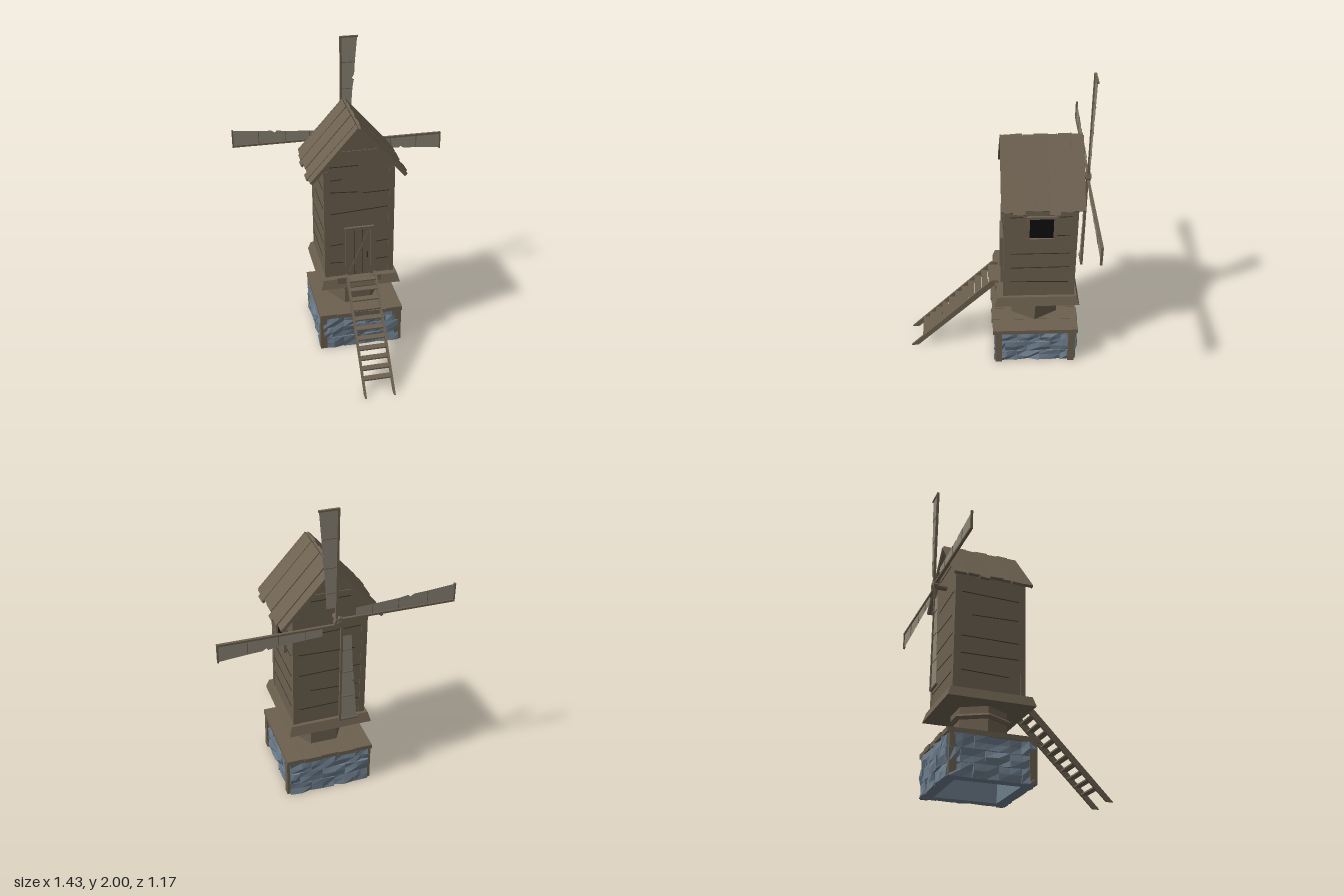
import * as THREE from 'three';

const material = (name, color, extra = {}) => {
  const m = new THREE.MeshStandardMaterial({ color, ...extra });
  m.name = name;
  return m;
};

export function createModel() {
  const wood = material('weathered wood', 0x6d6150, { flatShading: true });
  const gap = material('plank gap', 0x393126);
  const stone = material('blue grey stone', 0x6c7c8b, { flatShading: true });
  const cloth = material('sail cloth', 0x8d8677, { side: THREE.DoubleSide });
  const black = material('window dark', 0x0e0e0e);

  const model = new THREE.Group();
  model.name = 'windmill';
  const CX = 0.025, CZ = -0.265; // centre of the mill body
  let seed = 7;
  const rand = () => (seed = (seed * 16807) % 2147483647) / 2147483647;

  const group = (name, parent = model, x = 0, y = 0, z = 0) => {
    const g = new THREE.Group();
    g.name = name;
    g.position.set(x, y, z);
    parent.add(g);
    return g;
  };
  const add = (name, geometry, mat, parent, x = 0, y = 0, z = 0) => {
    const m = new THREE.Mesh(geometry, mat);
    m.name = name;
    m.position.set(x, y, z);
    parent.add(m);
    return m;
  };
  const box = (name, w, h, d, x, y, z, mat = wood, parent = model) =>
    add(name, new THREE.BoxGeometry(w, h, d), mat, parent, x, y, z);

  // Stone base: four walls of rough blocks, corner posts and a plank cap
  const base = group('stoneBase', model, 0.027, 0, -0.25);
  const block = (w, h, d) => {
    const g = new THREE.BoxGeometry(w, h, d, 2, 2, 1);
    const p = g.attributes.position;
    const bumps = Array.from({ length: 9 }, () => (rand() - 0.5) * 0.022);
    for (let i = 0; i < p.count; i++) {
      if (p.getZ(i) < 0) continue;
      const col = Math.round(p.getX(i) / w * 2) + 1, row = Math.round(p.getY(i) / h * 2) + 1;
      p.setZ(i, p.getZ(i) + bumps[row * 3 + col] + (col === 1 && row === 1 ? 0.006 : 0));
    }
    g.computeVertexNormals();
    return g;
  };
  for (let side = 0; side < 4; side++) {
    const wall = group('stoneWall', base);
    wall.rotation.y = side * Math.PI / 2;
    const proud = side >= 2 ? 0.012 : 0; // back and left walls bulge a little
    for (let row = 0; row < 3; row++) {
      const cuts = [-0.26, row % 2 ? -0.2 : -0.12, row % 2 ? -0.05 : 0.03, row % 2 ? 0.1 : 0.17, 0.26];
      for (let i = 0; i < 4; i++) {
        const a = cuts[i], b = cuts[i + 1];
        add('stoneBlock', block(b - a, 0.0835, 0.07), stone, wall,
          (a + b) / 2, 0.0417 + row * 0.0833, 0.228 + proud);
      }
    }
  }
  for (const sx of [-1, 1]) for (const sz of [-1, 1])
    box('basePost', 0.045, 0.25, 0.045, sx * 0.257, 0.125, sz * 0.242, wood, base);
  for (let i = 0; i < 5; i++)
    box('capPlank', 0.111, 0.03, 0.56 + (i % 2) * 0.012, -0.226 + i * 0.113, 0.265, 0, wood, base);
  box('capCore', 0.55, 0.018, 0.54, 0, 0.265, 0, wood, base);

  // Hexagonal turning post with collars
  const hex = (name, top, bottom, h, y) => {
    const m = add(name, new THREE.CylinderGeometry(top, bottom, h, 6), wood, model, 0.027, y, -0.25);
    m.rotation.y = Math.PI / 6;
  };
  hex('turningPost', 0.173, 0.173, 0.21, 0.38);
  hex('collarLower', 0.2, 0.185, 0.015, 0.4075);
  hex('collarUpper', 0.185, 0.2, 0.015, 0.4225);

  // Flared skirt under the body
  const skirtShape = new THREE.CylinderGeometry(0.495 / Math.SQRT2, 0.53 / Math.SQRT2, 0.062, 4);
  skirtShape.rotateY(Math.PI / 4);
  const skirt = add('floorSkirt', skirtShape, wood, model, CX, 0.509, -0.255);
  skirt.scale.z = 1.035;
  for (let i = 0; i < 4; i++)
    box('skirtPlank', 0.06 + rand() * 0.02, 0.05, 0.012, -0.1 + i * 0.075, 0.518 + rand() * 0.01, 0.005);

  // Body with gabled ends
  const profile = new THREE.Shape([[-0.2275, 0.53], [0.2275, 0.53], [0.2275, 1.325], [0, 1.58], [-0.2275, 1.325]]
    .map(([x, y]) => new THREE.Vector2(x, y)));
  add('body', new THREE.ExtrudeGeometry(profile, { depth: 0.45, bevelEnabled: false }), wood, model, CX, 0, CZ - 0.225);
  for (const sx of [-1, 1]) for (const sz of [-1, 1])
    box('cornerPost', 0.035, 0.77, 0.035, CX + sx * 0.2125, 0.925, CZ + sz * 0.2105);

  // Gaps between wall planks: [centre, height, length, tilt] on each wall
  const seams = [
    [[-0.1, 1.34, 0.18, 0], [-0.15, 1.25, 0.08, 0.05], [-0.1, 1.16, 0.18, -0.06], [0.12, 1.145, 0.2, 0.01],
      [0, 1.02, 0.38, 0.06], [-0.15, 0.78, 0.09, 0.08], [0.16, 0.78, 0.1, 0.08], [-0.15, 0.645, 0.09, -0.05],
      [0.16, 0.645, 0.1, 0.03]],
    [[0, 0.88, 0.37, 0], [0, 0.77, 0.37, 0.01], [0, 0.655, 0.37, -0.03], [-0.15, 1.16, 0.08, 0.04],
      [0.15, 1.16, 0.08, 0.04], [0.14, 1.02, 0.08, 0]],
    [[0, 1.4, 0.24, 0], [0.04, 1.18, 0.3, 0.03], [-0.02, 1.04, 0.36, -0.03], [0, 0.9, 0.38, 0.02],
      [0.03, 0.77, 0.3, -0.04], [0, 0.65, 0.38, 0.02]],
    [[0, 1.17, 0.37, -0.02], [0.03, 1.03, 0.3, 0.03], [0, 0.88, 0.37, 0], [0, 0.77, 0.37, 0.02],
      [-0.03, 0.655, 0.3, -0.03]],
  ];
  seams.forEach((list, side) => {
    const wall = group('wallSeams', model, CX, 0, CZ);
    wall.rotation.y = side * Math.PI / 2;
    for (const [x, y, length, tilt] of list)
      box('plankGap', length, 0.005, 0.004, x, y, side % 2 ? 0.2275 : 0.225, gap, wall).rotation.z = tilt;
  });
  for (const z of [-0.039, -0.491]) box('gableBeam', 0.24, 0.012, 0.008, CX, 1.437, z);

  // Roof planks, uneven in length and tilt
  const planks = [[-0.484, 0.07, 0.455], [-0.407, 0.074, 0.462], [-0.337, 0.057, 0.478], [-0.262, 0.078, 0.452],
    [-0.19, 0.06, 0.452], [-0.122, 0.067, 0.474], [-0.058, 0.06, 0.46]];
  const pitch = Math.atan2(0.345, 0.305);
  for (const s of [-1, 1]) {
    const slope = group(s < 0 ? 'roofRight' : 'roofLeft', model, 0.021, 1.59, 0);
    slope.rotation.z = -s * pitch;
    box('roofDeck', 0.44, 0.008, 0.46, s * 0.22, -0.003, -0.267, wood, slope);
    planks.forEach(([z, width, length], i) => {
      const p = box('roofPlank', length, 0.017, width + 0.006, s * length / 2, 0.004 + (i % 2) * 0.005, z, wood, slope);
      p.rotation.y = (rand() - 0.5) * 0.06;
      p.rotation.x = (rand() - 0.5) * 0.08;
    });
    for (const z of [-0.026, -0.512])
      box('bargeBoard', 0.455, 0.022, 0.012, s * 0.2275, 0.002, z, wood, slope);
  }

  // Door with frame, planks and brace
  const door = group('door', model, 0.0225, 0, -0.04);
  for (const s of [-1, 1]) box('doorJamb', 0.018, 0.35, 0.03, s * 0.083, 0.715, 0, wood, door);
  box('doorLintel', 0.19, 0.02, 0.034, 0, 0.893, 0, wood, door);
  box('doorPanel', 0.15, 0.345, 0.012, 0, 0.712, 0, wood, door);
  for (const x of [-0.028, 0.022]) box('doorGap', 0.004, 0.33, 0.004, x, 0.712, 0.005, gap, door);
  box('doorBrace', 0.014, 0.32, 0.006, 0, 0.712, 0.008, wood, door).rotation.z = -0.4;
  box('doorHandle', 0.008, 0.045, 0.012, 0.055, 0.69, 0.008, gap, door);

  // Window on the left wall
  const window_ = group('window', model, 0.2525, 1.08, -0.27);
  box('windowPane', 0.008, 0.15, 0.15, 0.001, 0, 0, black, window_);
  for (const s of [-1, 1]) {
    box('windowSide', 0.034, 0.18, 0.016, 0, 0, s * 0.082, wood, window_);
    box('windowRail', 0.034, 0.016, 0.18, 0, s * 0.082, 0, wood, window_);
  }

  // Ladder: two sloping rails and flat treads
  const ladder = group('ladder', model, 0.028, 0, 0);
  const rail = new THREE.Shape([[0.585, 0], [0.54, 0], [-0.012, 0.55], [-0.012, 0.565], [0.032, 0.565]]
    .map(([z, y]) => new THREE.Vector2(z, y)));
  const railShape = new THREE.ExtrudeGeometry(rail, { depth: 0.012, bevelEnabled: false });
  railShape.rotateY(-Math.PI / 2);
  for (const x of [-0.088, 0.1]) add('ladderRail', railShape, wood, ladder, x, 0, 0);
  for (let i = 0; i < 11; i++)
    box('ladderTread', 0.178, 0.01, 0.042, 0, 0.54 - i * 0.0458, 0.033 + i * 0.045, wood, ladder);

  // Axle, hub and four sails
  const rotor = group('rotor', model, 0, 1.285, -0.569);
  const axle = add('axle', new THREE.CylinderGeometry(0.017, 0.017, 0.11, 8), wood, rotor, 0, 0, 0.035);
  axle.rotation.x = Math.PI / 2;
  const hub = add('hub', new THREE.CylinderGeometry(0.034, 0.034, 0.028, 8), wood, rotor);
  hub.rotation.x = Math.PI / 2;
  const sailShape = new THREE.Shape([[0.02, 0.1], [0.078, 0.1], [0.086, 0.24], [0.094, 0.36], [0.104, 0.42],
    [0.09, 0.43], [0.106, 0.455], [0.11, 0.53], [0.126, 0.71], [0.02, 0.71]]
    .map(([x, y]) => new THREE.Vector2(x, y)));
  const sailGeometry = new THREE.ShapeGeometry(sailShape);
  for (let i = 0; i < 4; i++) {
    const sail = group('sail', rotor);
    sail.rotation.z = -i * Math.PI / 2;
    box('sailSpar', 0.013, 0.715, 0.016, 0.0165, 0.3575, 0, wood, sail);
    box('sailTip', 0.118, 0.01, 0.014, 0.071, 0.71, 0, wood, sail);
    add('sailCloth', sailGeometry, cloth, sail);
    for (const [y, w] of [[0.2, 0.062], [0.36, 0.072], [0.54, 0.088]])
      box('sailBatten', w, 0.005, 0.006, 0.02 + w / 2, y, 0, wood, sail);
  }
  return model;
}
